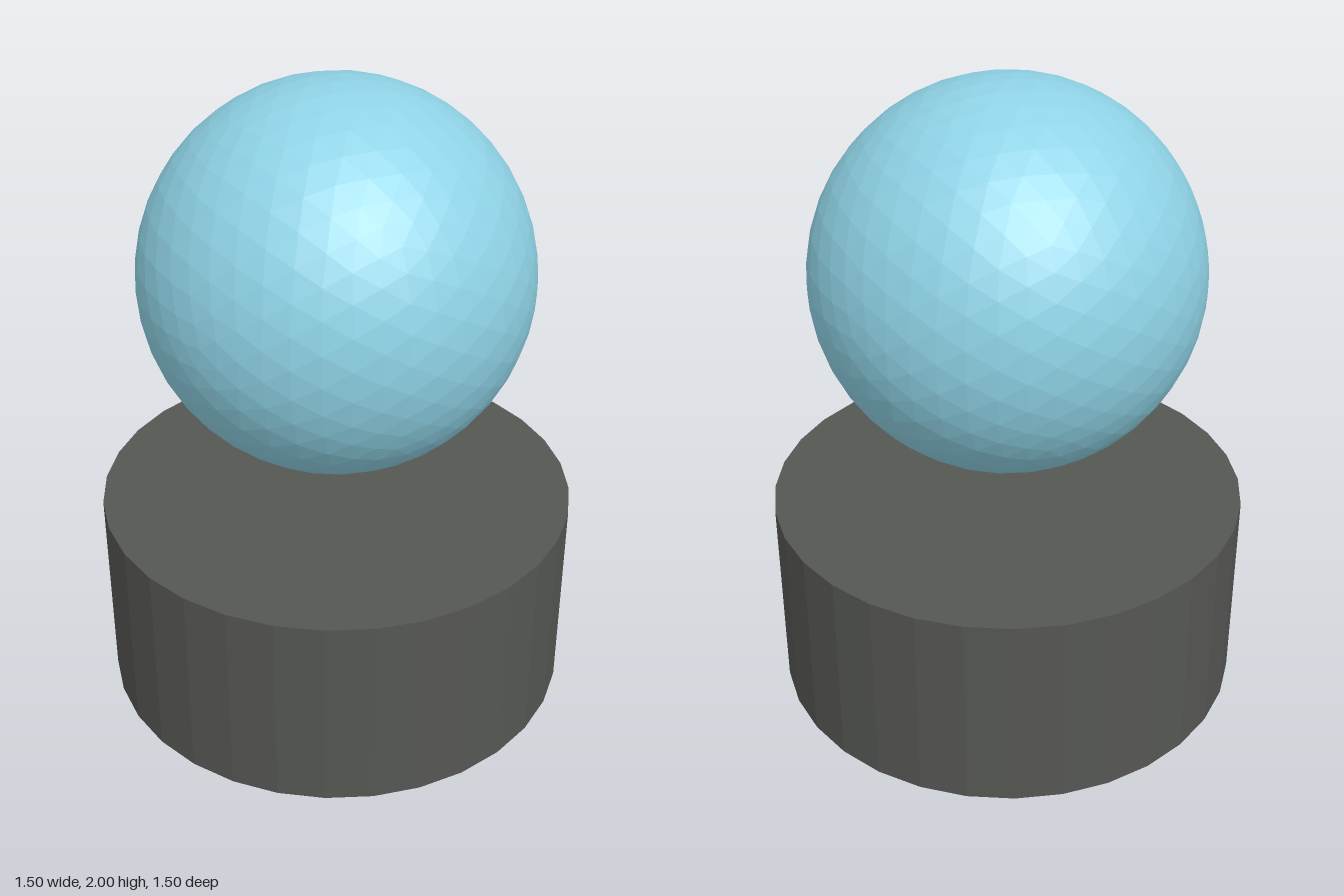
import * as THREE from 'three';

export function createModel() {
  const model = new THREE.Group();

  const addPart = (name, geometry, color, y) => {
    const material = new THREE.MeshStandardMaterial({ color, flatShading: true });
    const mesh = new THREE.Mesh(geometry, material);
    mesh.name = name;
    mesh.position.y = y;
    model.add(mesh);
  };

  // Faceted drum standing on the ground
  addPart('base', new THREE.CylinderGeometry(0.75, 0.75, 0.65, 32), 0x555753, 0.325);

  // Triangulated ball floating above the base
  addPart('ball', new THREE.IcosahedronGeometry(0.6, 7), 0x8fd3e6, 1.4);

  return model;
}
